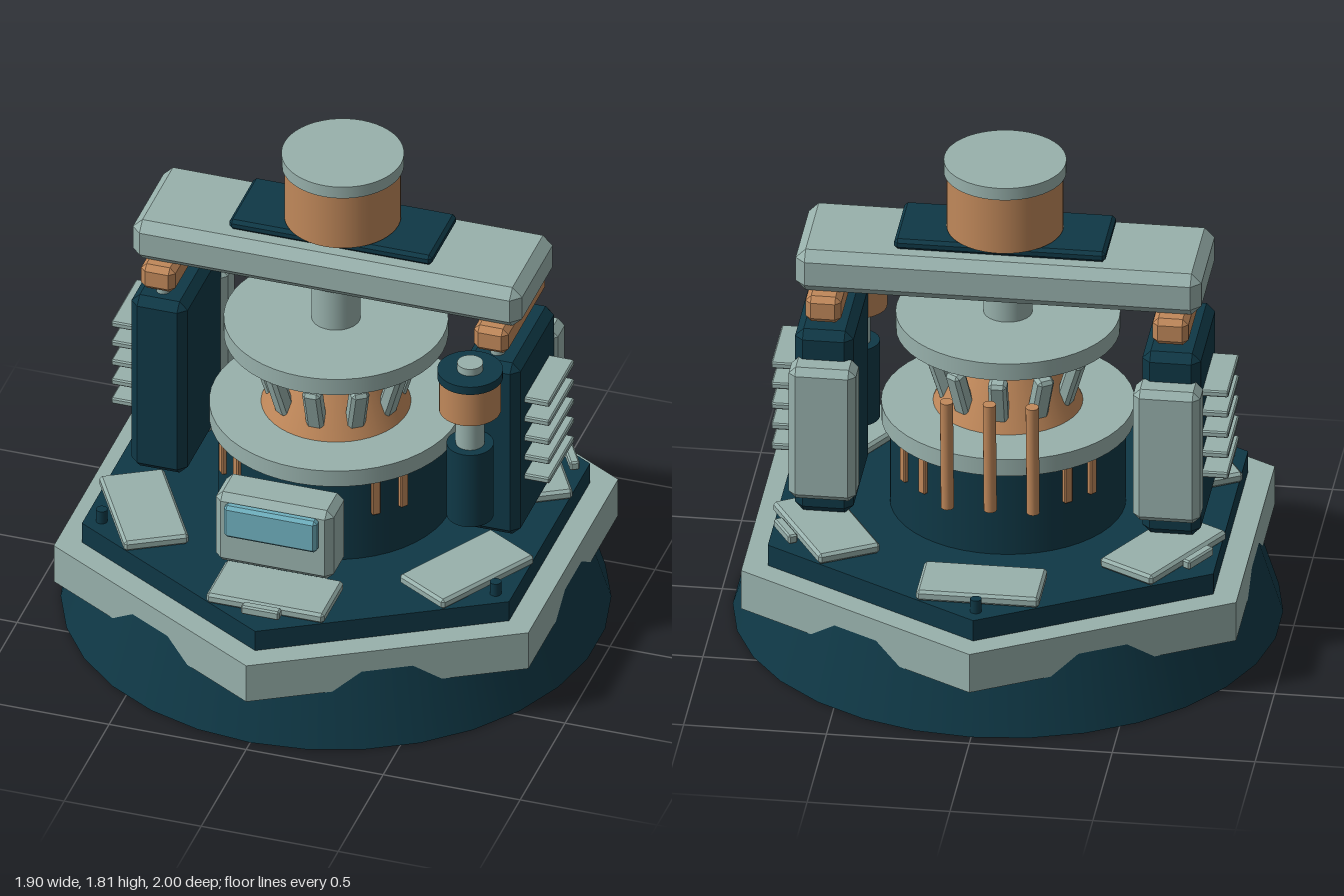
import * as THREE from 'three';
import { ConvexGeometry } from 'three/addons/geometries/ConvexGeometry.js';

const mat = (name, color) => Object.assign(new THREE.MeshStandardMaterial({ color }), { name });

// Box with a single flat chamfer on every edge
function chamferBox(w, h, d, c) {
  const pts = [];
  for (const x of [-1, 1]) for (const y of [-1, 1]) for (const z of [-1, 1]) {
    const [a, b, e] = [w / 2, h / 2, d / 2];
    pts.push(new THREE.Vector3(x * a, y * (b - c), z * (e - c)));
    pts.push(new THREE.Vector3(x * (a - c), y * b, z * (e - c)));
    pts.push(new THREE.Vector3(x * (a - c), y * (b - c), z * e));
  }
  return new ConvexGeometry(pts);
}

export function createModel() {
  const root = new THREE.Group();
  root.name = 'machine';
  const dark = mat('dark teal', 0x0f3846);
  const light = mat('pale grey green', 0x98b1ac);
  const copper = mat('copper', 0xc0885a);
  const glass = mat('screen blue', 0x6fb0be);

  function add(name, geo, material, x = 0, y = 0, z = 0, parent = root) {
    const m = new THREE.Mesh(geo, material);
    m.name = name;
    m.position.set(x, y, z);
    parent.add(m);
    return m;
  }
  // Box and cylinder given by their extents
  const box = (name, material, [x0, x1], [y0, y1], [z0, z1], c = 0.01, parent = root) =>
    add(name, chamferBox(x1 - x0, y1 - y0, z1 - z0, c), material,
      (x0 + x1) / 2, (y0 + y1) / 2, (z0 + z1) / 2, parent);
  const cyl = (name, material, rTop, rBottom, y0, y1, x = 0, z = 0, sides = 48, parent = root) =>
    add(name, new THREE.CylinderGeometry(rTop, rBottom, y1 - y0, sides), material, x, (y0 + y1) / 2, z, parent);
  const hex = (name, material, r, y0, y1) => {
    const g = new THREE.CylinderGeometry(r, r, y1 - y0, 6).toNonIndexed();
    g.computeVertexNormals();
    return add(name, g, material, 0, (y0 + y1) / 2, 0);
  };
  // Group turned to face outward at a given angle
  const spoke = (name, angle) => {
    const g = new THREE.Group();
    g.name = name;
    g.rotation.y = angle;
    root.add(g);
    return g;
  };

  // Foot and hexagonal deck
  cyl('foot', dark, 0.847, 0.955, 0, 0.345, 0, 0, 30);
  hex('deckRim', light, 1, 0.2, 0.35);
  hex('deck', dark, 0.9, 0.345, 0.43);

  // Floor plates, corner strips and corner studs
  for (let i = 0; i < 6; i++) {
    const g = spoke('deckSector', (i * Math.PI) / 3);
    box('floorPlate', light, [-0.215, 0.215], [0.435, 0.475], [0.565, 0.795], 0.01, g);
    if (i % 2 === 0) box('cornerStrip', light, [-0.07, 0.07], [0.455, 0.49], [0.815, 0.85], 0.006, g);
    else cyl('cornerStud', dark, 0.02, 0.02, 0.42, 0.48, 0, 0.83, 16, g);
  }

  // Central drum with paired copper bars
  cyl('drum', dark, 0.41, 0.41, 0.42, 0.76);
  cyl('drumLid', light, 0.44, 0.44, 0.755, 0.82);
  for (let i = 0; i < 4; i++) for (const s of [-1, 1]) {
    const g = spoke('drumBarMount', Math.PI / 4 + (i * Math.PI) / 2 + s * 0.13);
    box('drumBar', copper, [-0.016, 0.016], [0.61, 0.75], [0.39, 0.425], 0.004, g);
  }

  // Copper core, ringed by outward-leaning blocks
  cyl('core', copper, 0.16, 0.26, 0.82, 1.04);
  for (let i = 0; i < 10; i++) {
    const g = spoke('coreBlockMount', (i * Math.PI) / 5);
    add('coreBlock', chamferBox(0.065, 0.18, 0.055, 0.012), light, 0, 0.945, 0.24, g).rotation.x = 0.3;
  }
  cyl('column', light, 0.085, 0.085, 1.03, 1.35);
  cyl('upperDisc', light, 0.39, 0.39, 1.105, 1.17);

  // Side towers, mirrored
  for (const s of [-1, 1]) {
    const span = (a, b) => (s > 0 ? [a, b] : [-b, -a]);
    const g = new THREE.Group();
    g.name = s > 0 ? 'leftTower' : 'rightTower';
    root.add(g);
    box('towerBody', dark, span(0.505, 0.71), [0.475, 1.19], [-0.29, 0.14], 0.03, g);
    box('towerBackBox', light, span(0.485, 0.72), [0.57, 1.085], [-0.375, -0.25], 0.025, g);
    for (let i = 0; i < 5; i++) {
      const y = 0.69 + i * 0.08;
      box('coolingFin', light, span(0.68, 0.8), [y - 0.012, y + 0.012], [-0.215, 0.065], 0.005, g);
    }
    for (const z of [0.06, -0.06]) cyl('towerPost', light, 0.025, 0.025, 1.18, 1.25, s * 0.61, z, 16, g);
    box('bearingBlock', copper, span(0.545, 0.67), [1.235, 1.335], [-0.305, 0.145], 0.02, g);
  }

  // Cross beam and top motor
  box('beam', light, [-0.71, 0.71], [1.335, 1.495], [-0.28, 0.13], 0.035);
  box('motorPlate', dark, [-0.37, 0.37], [1.5, 1.54], [-0.22, 0.07], 0.012);
  cyl('motorSpigot', dark, 0.1, 0.1, 1.49, 1.55, 0, -0.075);
  cyl('motor', copper, 0.203, 0.203, 1.545, 1.765, 0, -0.075);
  cyl('motorCap', light, 0.213, 0.213, 1.76, 1.807, 0, -0.075);

  // Piston beside the left tower
  const px = 0.56, pz = 0.215;
  cyl('pistonSleeve', dark, 0.082, 0.082, 0.6, 0.9, px, pz);
  cyl('pistonRod', light, 0.05, 0.05, 0.89, 1.05, px, pz);
  cyl('pistonHead', copper, 0.108, 0.108, 1.04, 1.18, px, pz);
  cyl('pistonCollar', dark, 0.114, 0.114, 1.175, 1.207, px, pz);
  cyl('pistonTip', light, 0.045, 0.045, 1.2, 1.235, px, pz);

  // Front console
  box('console', light, [-0.215, 0.215], [0.55, 0.835], [0.54, 0.705], 0.025);
  box('consoleScreen', glass, [-0.17, 0.17], [0.685, 0.815], [0.7, 0.742], 0.012);

  // Leaning rods at the back
  for (const x of [-0.15, 0, 0.15]) {
    add('backRod', new THREE.CylinderGeometry(0.023, 0.023, 0.43, 16), copper, x, 0.845, -0.47).rotation.x = -0.06;
  }
  return root;
}
